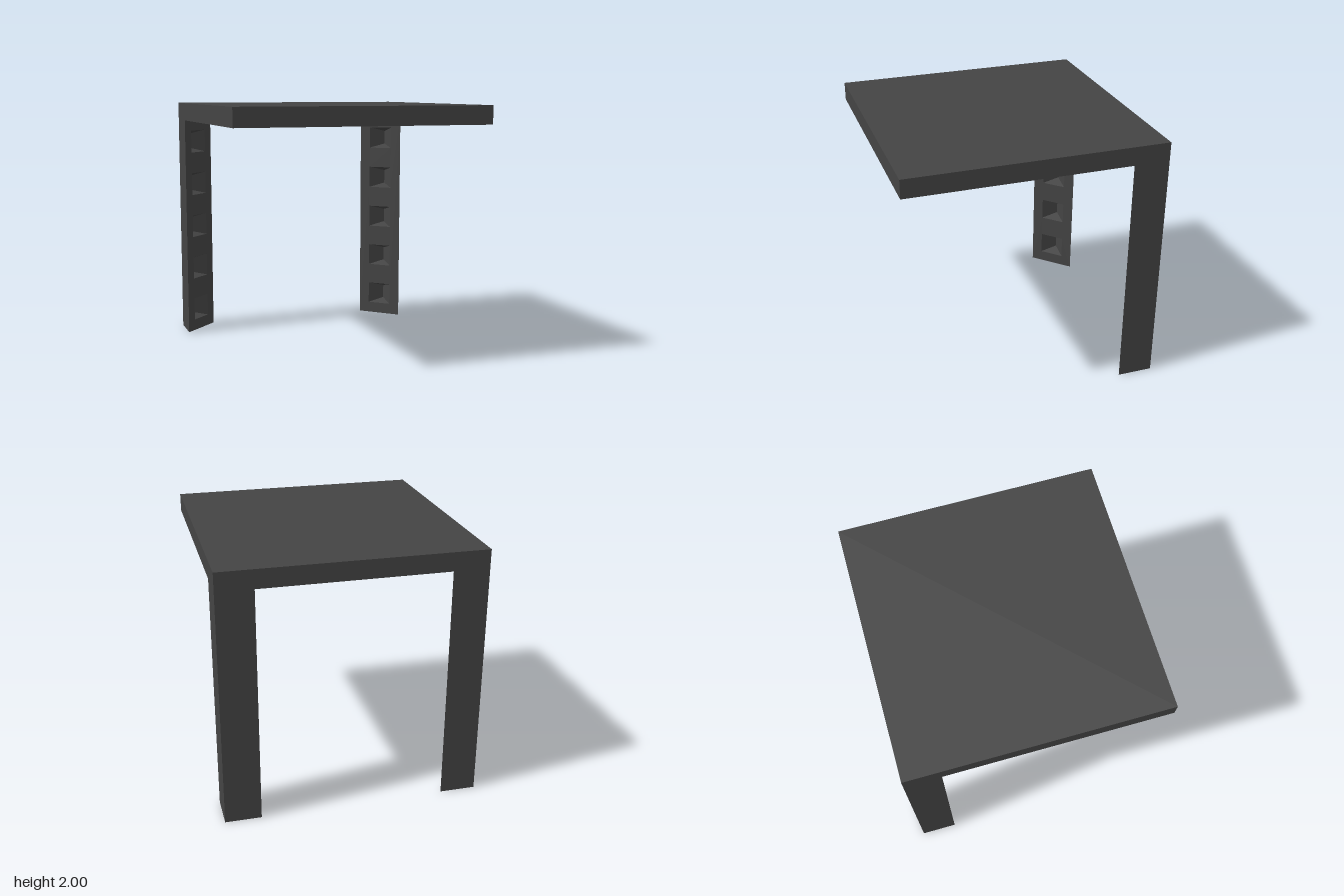
import * as THREE from 'three';

const SLAB_BOTTOM = 1.855;
const H = 0.28 / Math.SQRT2; // half width and depth of the triangular leg
const P = 0.15 / Math.SQRT2; // half width and depth of a pocket
const POCKET_HEIGHT = 0.19, POCKET_SLOPE = 0.036;
const pocketBottoms = [0, 1, 2, 3, 4].map((i) => 0.095 + i * 0.37);

const material = new THREE.MeshStandardMaterial({ color: 0x444444, flatShading: true });

// Flat-sided geometry from convex polygons, corners counter-clockwise
function polygons(faces) {
  const positions = [];
  for (const f of faces) {
    for (let i = 1; i < f.length - 1; i++) positions.push(...f[0], ...f[i], ...f[i + 1]);
  }
  const geometry = new THREE.BufferGeometry();
  geometry.setAttribute('position', new THREE.Float32BufferAttribute(positions, 3));
  geometry.computeVertexNormals();
  return geometry;
}

function addMesh(parent, geometry, name) {
  const mesh = new THREE.Mesh(geometry, material);
  mesh.name = name;
  parent.add(mesh);
  return mesh;
}

// Triangular leg, its broad inner face turned to local +z
function createLeg(name) {
  const leg = new THREE.Group();
  leg.name = name;

  // Two outer sides and the foot
  const T = SLAB_BOTTOM;
  addMesh(leg, polygons([
    [[0, 0, -H], [-H, 0, 0], [-H, T, 0], [0, T, -H]],
    [[H, 0, 0], [0, 0, -H], [0, T, -H], [H, T, 0]],
    [[-H, 0, 0], [0, 0, -H], [H, 0, 0]],
  ]), 'legOuterSides');

  // Inner face with pocket openings
  const face = new THREE.Shape([[-H, 0], [H, 0], [H, T], [-H, T]].map((p) => new THREE.Vector2(...p)));
  for (const y of pocketBottoms) {
    const top = y + POCKET_HEIGHT;
    face.holes.push(new THREE.Path([[-P, y], [-P, top], [P, top], [P, y]].map((p) => new THREE.Vector2(...p))));
  }
  addMesh(leg, new THREE.ShapeGeometry(face), 'legInnerFace');

  // Wedge pockets: two walls meeting at a deep edge, sloped floor and ceiling
  for (const y of pocketBottoms) {
    const top = y + POCKET_HEIGHT;
    const left = [-P, y, 0], right = [P, y, 0], deep = [0, y + POCKET_SLOPE, -P];
    const leftTop = [-P, top, 0], rightTop = [P, top, 0], deepTop = [0, top - POCKET_SLOPE, -P];
    addMesh(leg, polygons([
      [left, deep, deepTop, leftTop],
      [deep, right, rightTop, deepTop],
      [left, right, deep],
      [leftTop, deepTop, rightTop],
    ]), 'legPocket');
  }
  return leg;
}

export function createModel() {
  const model = new THREE.Group();
  model.name = 'cornerTable';

  // Square top
  const thickness = 2 - SLAB_BOTTOM;
  addMesh(model, new THREE.BoxGeometry(2, thickness, 2), 'tableTop').position.y = 2 - thickness / 2;

  // Legs at the two back corners
  for (const side of [-1, 1]) {
    const leg = createLeg(side < 0 ? 'rightLeg' : 'leftLeg');
    leg.position.set(side * 0.86, 0, -0.86);
    leg.rotation.y = -side * Math.PI / 4;
    model.add(leg);
  }
  return model;
}
